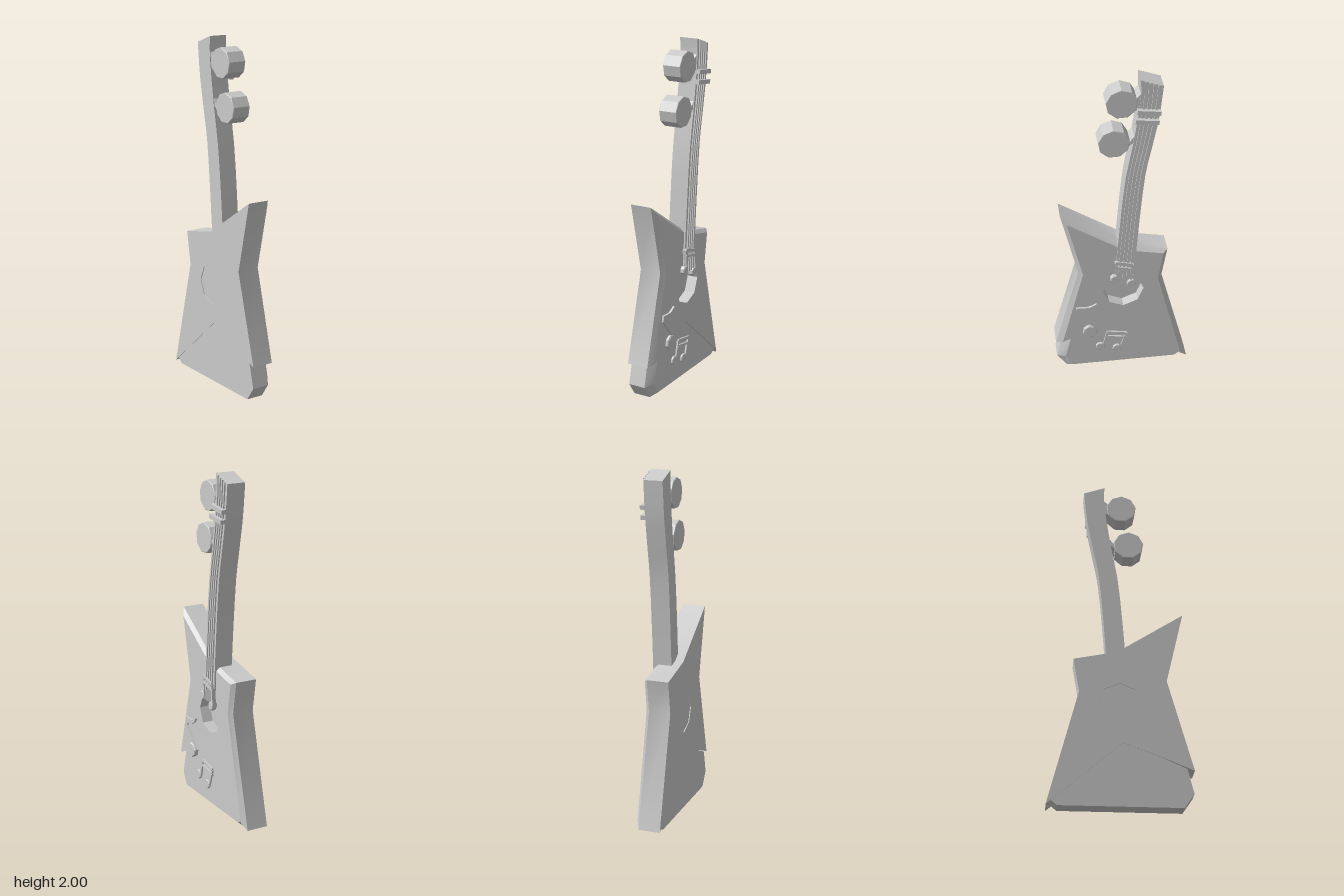
import * as THREE from 'three';
import { toCreasedNormals } from 'three/addons/utils/BufferGeometryUtils.js';

const material = new THREE.MeshStandardMaterial({ color: 0xcccccc });
const vecs = (pts) => pts.map(([u, y]) => new THREE.Vector2(u, y));

// Outlines are drawn as (u, y) with u = -z, then turned so the extrusion runs along +x.
function addMesh(group, name, geometry) {
  geometry.rotateY(Math.PI / 2);
  const mesh = new THREE.Mesh(toCreasedNormals(geometry, 0.5), material);
  mesh.name = name;
  group.add(mesh);
  return mesh;
}

function plate(group, name, pts, x0, x1, bevel = 0) {
  const g = new THREE.ExtrudeGeometry(new THREE.Shape(vecs(pts)), {
    depth: x1 - x0 - bevel * 2, bevelEnabled: bevel > 0, bevelSize: bevel,
    bevelThickness: bevel, bevelOffset: -bevel, bevelSegments: 1,
  });
  g.translate(0, 0, x0 + bevel);
  return addMesh(group, name, g);
}

// Slab with a flat back at x0, straight sides to x1, then a chamfer to the inner outline at x2.
function chamferedSlab(group, name, outer, inner, [x0, x1, x2], hole) {
  const shape = new THREE.Shape(vecs(outer));
  if (hole) shape.holes.push(new THREE.Path(vecs(hole)));
  const g = new THREE.ExtrudeGeometry(shape, { depth: 2, steps: 2, bevelEnabled: false });
  const p = g.attributes.position;
  for (let i = 0; i < p.count; i++) {
    const layer = Math.round(p.getZ(i));
    p.setZ(i, [x0, x1, x2][layer]);
    if (layer < 2) continue;
    const k = outer.findIndex(([u, y]) => Math.hypot(u - p.getX(i), y - p.getY(i)) < 1e-4);
    if (k >= 0) p.setXY(i, inner[k][0], inner[k][1]);
  }
  g.computeVertexNormals();
  return addMesh(group, name, g);
}

const ngon = (u, y, r, n, turn = 0) => Array.from({ length: n }, (_, i) => {
  const a = turn + (i / n) * Math.PI * 2;
  return [u + r * Math.cos(a), y + r * Math.sin(a)];
});

// Straight bar between two points in the (u, y) plane
function bar(group, name, [u0, y0], [u1, y1], width, xa, xb) {
  const len = Math.hypot(u1 - u0, y1 - y0);
  const a = (-(y1 - y0) / len) * width / 2, b = ((u1 - u0) / len) * width / 2;
  return plate(group, name,
    [[u0 - a, y0 - b], [u1 - a, y1 - b], [u1 + a, y1 + b], [u0 + a, y0 + b]], xa, xb);
}

// Two round heads with stems joined by a double beam
function beamedNote(name, heads, tops, r, xa, xb) {
  const note = new THREE.Group();
  note.name = name;
  heads.forEach(([u, y], i) => {
    plate(note, 'noteHead', ngon(u, y, r, 8, 0.3), xa, xb, 0.004);
    bar(note, 'noteStem', [u + r * 0.75, y], tops[i], 0.013, xa, xb - 0.002);
  });
  bar(note, 'noteBeam', tops[0], tops[1], 0.018, xa, xb - 0.001);
  const drop = ([u, y]) => [u, y - 0.033];
  bar(note, 'noteBeam', drop(tops[0]), drop(tops[1]), 0.014, xa, xb - 0.001);
  return note;
}

export function createModel() {
  const model = new THREE.Group();
  model.name = 'guitar';

  // Upper body with an eight-sided sound hole
  const seam = [[-0.155, 0.31], [-0.01, 0.36]];
  chamferedSlab(model, 'upperBody',
    [[-0.35, 1.14], [-0.255, 0.73], [-0.4, 0.21], ...seam, [0.4, 0.005], [0.232, 0.655], [0.265, 0.85], [0.02, 0.9]],
    [[-0.315, 1.095], [-0.23, 0.725], [-0.36, 0.222], ...seam, [0.36, 0.045], [0.21, 0.655], [0.238, 0.835], [0.015, 0.88]],
    [-0.095, 0.033, 0.055], ngon(0.005, 0.59, 0.12, 8));
  plate(model, 'soundHoleFloor', ngon(0.005, 0.59, 0.125, 8), -0.09, -0.01);

  // Lower body, set slightly below the upper face
  chamferedSlab(model, 'lowerBody',
    [[-0.36, 0.22], [-0.395, 0.08], [-0.34, 0], [0.34, 0], [0.375, 0.03], [-0.01, 0.362], [-0.155, 0.312]],
    [[-0.31, 0.24], [-0.345, 0.095], [-0.305, 0.025], [0.315, 0.025], [0.35, 0.05], [-0.01, 0.362], [-0.155, 0.312]],
    [-0.092, 0.01, 0.046]);

  // Bent neck
  const curve = (pts) => new THREE.SplineCurve(vecs(pts)).getPoints(14);
  const left = curve([[-0.045, 0.67], [-0.03, 0.89], [0.01, 1.34], [0.06, 1.63], [0.095, 1.88], [0.095, 2]]);
  const right = curve([[0.07, 0.67], [0.078, 0.87], [0.12, 1.36], [0.16, 1.58], [0.195, 1.76], [0.217, 1.957]]);
  const across = (i, f) => left[i].clone().lerp(right[i], f).toArray();
  const strip = (f0, f1) => [
    ...left.map((_, i) => across(i, f0)),
    ...left.map((_, i) => across(i, f1)).reverse(),
  ];
  plate(model, 'neck', strip(0, 1), -0.045, 0.065);

  // Strings along the neck
  for (let i = 0; i < 4; i++) {
    const f = 0.2 + i * 0.2;
    plate(model, 'string', strip(f - 0.05, f + 0.05), 0.064, 0.073);
  }

  // Two bars across the strings
  for (const y of [1.755, 1.812]) {
    const u = y > 1.8 ? 0.075 : 0.066;
    bar(model, 'stringBar', [u, y + 0.008], [u + 0.127, y - 0.008], 0.024, 0.064, 0.093);
  }

  // Tuning pegs with small webs reaching the neck
  const pegs = [
    { at: [-0.005, 1.86], web: [[0.05, 1.81], [0.06, 1.875], [0.1, 1.915], [0.1, 1.83]] },
    { at: [-0.048, 1.615], web: [[0.0, 1.56], [0.03, 1.61], [0.065, 1.655], [0.065, 1.62]] },
  ];
  for (const { at, web } of pegs) {
    plate(model, 'tuningPeg', ngon(at[0], at[1], 0.088, 9, 0.2), -0.045, 0.065, 0.003);
    plate(model, 'pegWeb', web, -0.04, 0.06);
  }

  // Raised music notes
  model.add(beamedNote('neckNote', [[-0.048, 0.69], [0.05, 0.652]], [[-0.04, 0.81], [0.058, 0.785]], 0.026, 0.05, 0.08));
  model.add(beamedNote('lowerNote', [[-0.135, 0.16], [-0.032, 0.135]], [[-0.09, 0.265], [0.027, 0.245]], 0.028, 0.04, 0.058));

  const single = new THREE.Group();
  single.name = 'singleNote';
  plate(single, 'noteHead', ngon(-0.195, 0.298, 0.045, 8, 0.2), 0.045, 0.073, 0.005);
  plate(single, 'noteFlag', [
    [-0.165, 0.315], [-0.278, 0.45], [-0.275, 0.485], [-0.2, 0.482], [-0.155, 0.505],
    [-0.16, 0.485], [-0.205, 0.455], [-0.245, 0.45], [-0.258, 0.435], [-0.148, 0.32],
  ], 0.045, 0.068);
  model.add(single);

  return model;
}
